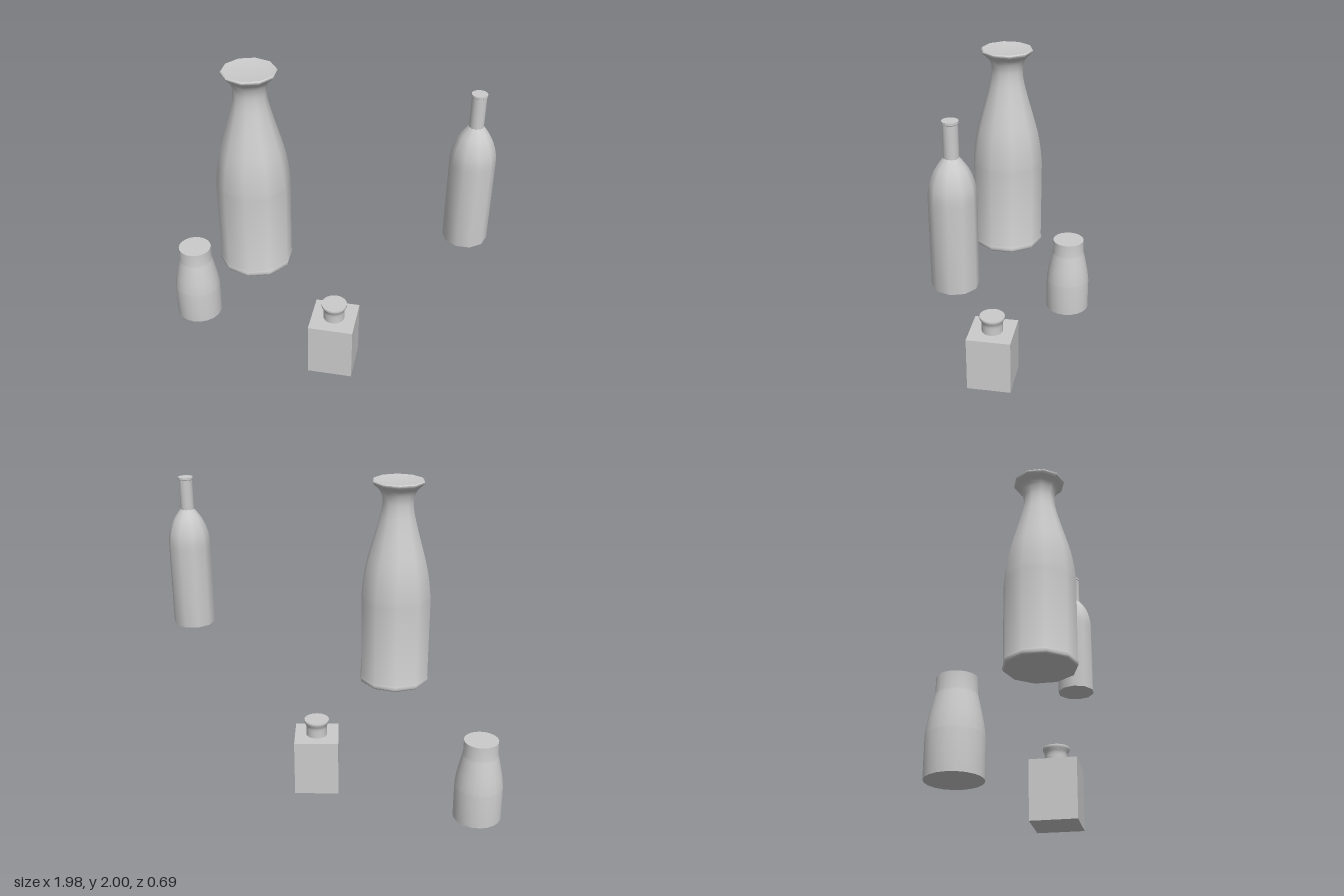
import * as THREE from 'three';
import { toCreasedNormals } from 'three/addons/utils/BufferGeometryUtils.js';

const material = new THREE.MeshStandardMaterial({ color: 0xcccccc });

function addMesh(parent, name, geometry, x = 0, y = 0, z = 0) {
  const mesh = new THREE.Mesh(geometry, material);
  mesh.name = name;
  mesh.position.set(x, y, z);
  parent.add(mesh);
  return mesh;
}

// Closed turned body from [radius, height] pairs, listed bottom to top.
function turned(profile, sides, startAngle = 0) {
  const points = [[0, profile[0][1]], ...profile, [0, profile[profile.length - 1][1]]]
    .map(([r, y]) => new THREE.Vector2(r, y));
  return toCreasedNormals(new THREE.LatheGeometry(points, sides, startAngle), 0.75);
}

// Smooth run of [radius, height] pairs through a few control points.
function smooth(points, steps) {
  const curve = new THREE.SplineCurve(points.map(([r, y]) => new THREE.Vector2(r, y)));
  return curve.getPoints(steps).map((p) => [p.x, p.y]);
}

function group(name, x, z) {
  const g = new THREE.Group();
  g.name = name;
  g.position.set(x, 0, z);
  return g;
}

export function createModel() {
  const model = new THREE.Group();
  model.name = 'bottleSet';

  // Large ten-sided bottle with a foot bead and a flared lip
  const large = group('largeBottle', -0.335, 0.125);
  addMesh(large, 'largeBottleBody', turned([
    [0.205, 0.775], [0.211, 0.782], [0.213, 0.795], [0.211, 0.805], [0.208, 0.812],
    ...smooth([
      [0.21, 1.3], [0.2, 1.4], [0.182, 1.5], [0.155, 1.6], [0.126, 1.7],
      [0.1, 1.8], [0.092, 1.86], [0.095, 1.9], [0.11, 1.94], [0.14, 1.97],
    ], 24),
    [0.151, 1.982], [0.152, 1.99], [0.146, 1.996], [0.088, 1.99],
  ], 10));
  model.add(large);

  // Slim ten-sided bottle with a round neck
  const slim = group('slimBottle', 0.865, 0.165);
  addMesh(slim, 'slimBottleBody', turned([
    [0.12, 1.13],
    ...smooth([[0.12, 1.6], [0.117, 1.65], [0.106, 1.7], [0.086, 1.75], [0.06, 1.79], [0.036, 1.82]], 14),
  ], 10, Math.PI / 2));
  addMesh(slim, 'slimBottleNeck', turned([
    [0.038, 1.8], [0.038, 1.985], [0.041, 1.988], [0.041, 2],
  ], 20));
  model.add(slim);

  // Short round jar with sloping shoulders
  const jar = group('shortJar', -0.844, -0.2);
  addMesh(jar, 'shortJarBody', turned([
    [0.147, 0],
    ...smooth([[0.147, 0.215], [0.138, 0.28], [0.122, 0.36], [0.105, 0.435]], 12),
    [0.104, 0.52],
  ], 20));
  model.add(jar);

  // Square bottle with a flared round neck
  const square = group('squareBottle', 0.139, 0.135);
  addMesh(square, 'squareBottleBody', new THREE.BoxGeometry(0.272, 0.353, 0.272), 0, 0.2015, 0);
  addMesh(square, 'squareBottleNeck', turned([
    [0.065, 0.37], [0.064, 0.425],
    ...smooth([[0.065, 0.44], [0.07, 0.453], [0.077, 0.466]], 5),
    [0.078, 0.475], [0.077, 0.482],
  ], 24));
  model.add(square);

  return model;
}
